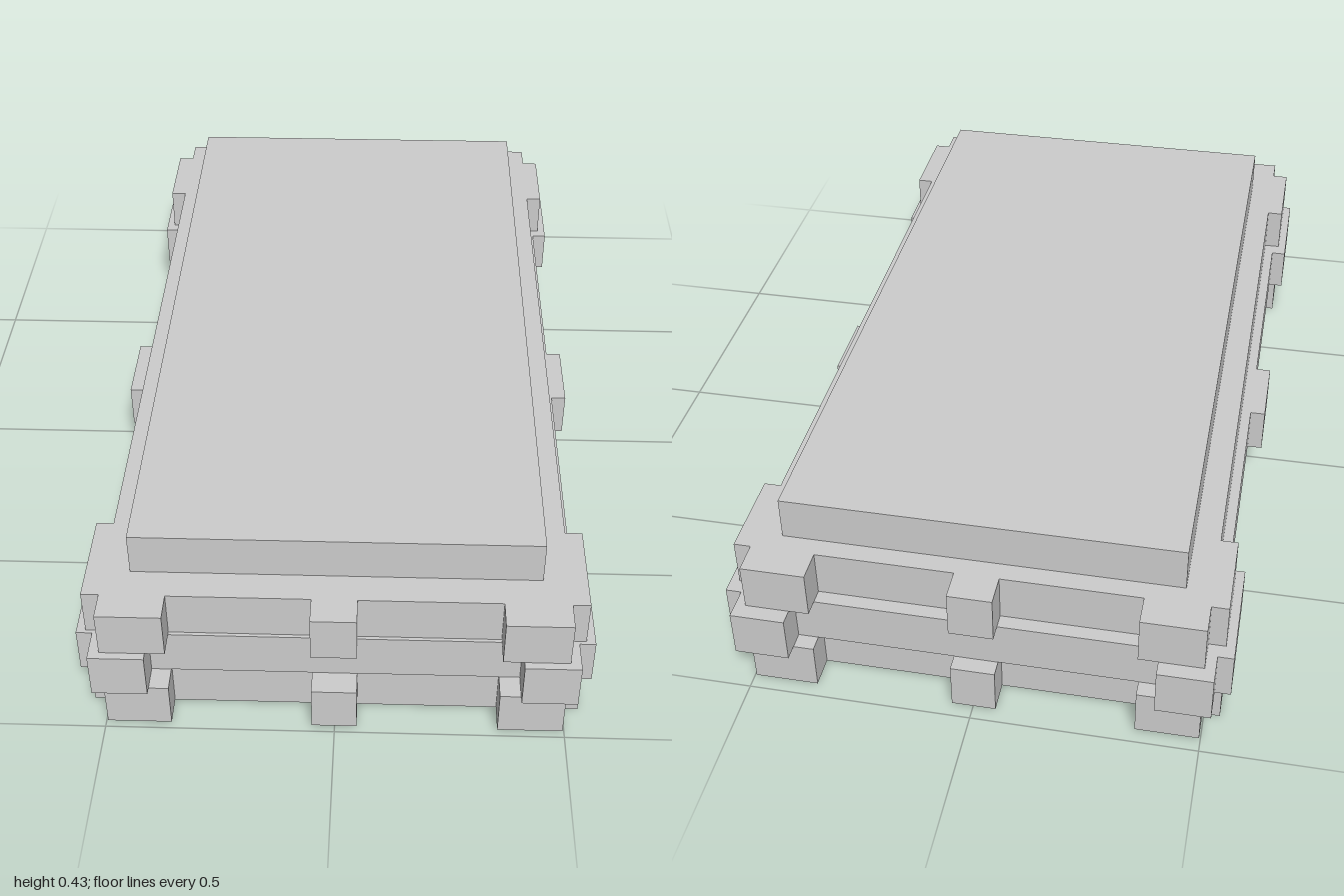
import * as THREE from 'three';

const material = new THREE.MeshStandardMaterial({ color: 0xcccccc, flatShading: true });

// One interlocked lattice layer: long beams (x ranges) crossed by planks (z ranges),
// both listed in ascending order, with the ends of each poking past the other.
function latticeLayer(name, beams, planks, halfWidth, zBack, zFront, y, height) {
  const edge = beams[beams.length - 1][1];
  const back = planks[0][0];
  const front = planks[planks.length - 1][1];
  const pts = [];
  // back end, left to right
  for (const [a, b] of beams) pts.push([a, back], [a, zBack], [b, zBack], [b, back]);
  // right side, back to front
  planks.forEach(([a, b], i) => {
    if (i > 0) pts.push([edge, a]);
    pts.push([halfWidth, a], [halfWidth, b], [edge, b]);
  });
  // front end, right to left
  for (const [a, b] of [...beams].reverse()) pts.push([b, front], [b, zFront], [a, zFront], [a, front]);
  // left side, front to back
  for (const [a, b] of [...planks].reverse()) pts.push([-edge, b], [-halfWidth, b], [-halfWidth, a], [-edge, a]);

  // drop repeated corners
  const clean = pts.filter((p, i) => {
    const q = pts[(i + 1) % pts.length];
    return Math.hypot(p[0] - q[0], p[1] - q[1]) > 1e-6;
  });
  const shape = new THREE.Shape(clean.map(([x, z]) => new THREE.Vector2(x, z)));

  // openings between neighbouring beams and planks
  for (let i = 0; i + 1 < beams.length; i++) {
    for (let j = 0; j + 1 < planks.length; j++) {
      const x0 = beams[i][1], x1 = beams[i + 1][0];
      const z0 = planks[j][1], z1 = planks[j + 1][0];
      shape.holes.push(new THREE.Path([[x0, z0], [x0, z1], [x1, z1], [x1, z0]]
        .map(([x, z]) => new THREE.Vector2(x, z))));
    }
  }

  const geometry = new THREE.ExtrudeGeometry(shape, { depth: height, bevelEnabled: false });
  geometry.rotateX(Math.PI / 2).translate(0, y + height, 0);
  const mesh = new THREE.Mesh(geometry, material);
  mesh.name = name;
  return mesh;
}

export function createModel() {
  const group = new THREE.Group();
  group.name = 'stackedPlatform';
  const h = 0.109;

  // bottom and top layers: three beams and two end planks
  const outerBeams = [[-0.497, -0.357], [-0.05, 0.048], [0.355, 0.497]];
  const outerPlanks = [[-0.895, -0.692], [0.703, 0.92]];
  ['bottomLayer', 'topLayer'].forEach((name, i) => {
    group.add(latticeLayer(name, outerBeams, outerPlanks, 0.535, -0.965, 0.983, i * 2 * h, h));
  });

  // middle layer: two beams and three planks
  const midBeams = [[-0.52, -0.4], [0.4, 0.52]];
  const midPlanks = [[-0.928, -0.665], [-0.093, 0.093], [0.665, 0.928]];
  group.add(latticeLayer('middleLayer', midBeams, midPlanks, 0.555, -1, 1, h, h));

  // solid slab on top
  const slab = new THREE.Mesh(new THREE.BoxGeometry(0.88, 0.1, 1.7), material);
  slab.name = 'topSlab';
  slab.position.y = 3 * h + 0.05;
  group.add(slab);

  return group;
}
